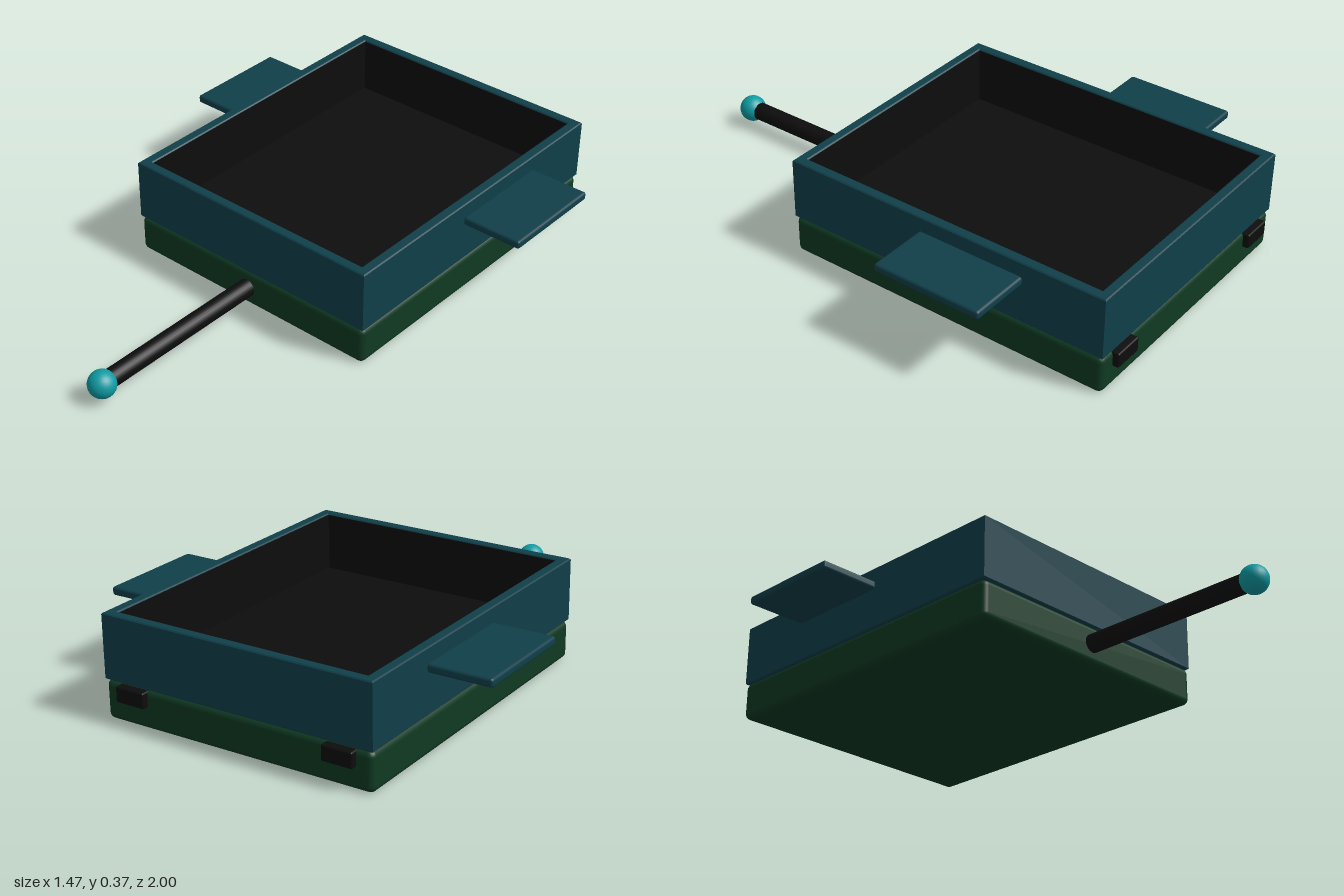
import * as THREE from 'three';
import { RoundedBoxGeometry } from 'three/addons/geometries/RoundedBoxGeometry.js';

const paint = (name, color) => {
  const m = new THREE.MeshStandardMaterial({ color });
  m.name = name;
  return m;
};

// Rectangle outline centred on the origin
function rect(Type, w, d) {
  const p = new Type(), x = w / 2, y = d / 2;
  p.moveTo(-x, -y); p.lineTo(x, -y); p.lineTo(x, y); p.lineTo(-x, y); p.closePath();
  return p;
}

// Upright rectangular frame from y0 to y1, open through the middle
function frame(w, d, innerW, innerD, y0, y1, bevel) {
  const s = rect(THREE.Shape, w - 2 * bevel, d - 2 * bevel);
  s.holes.push(rect(THREE.Path, innerW + 2 * bevel, innerD + 2 * bevel));
  const g = new THREE.ExtrudeGeometry(s, {
    depth: y1 - y0 - 2 * bevel, bevelEnabled: bevel > 0,
    bevelSize: bevel, bevelThickness: bevel, bevelSegments: 1,
  });
  return g.rotateX(-Math.PI / 2).translate(0, y0 + bevel, 0);
}

export function createModel() {
  const model = new THREE.Group();
  model.name = 'trailer';
  const teal = paint('dark teal', 0x103f49);
  const green = paint('dark green', 0x0f3a22);
  const black = paint('black', 0x0d0d0d);
  const bright = paint('bright teal', 0x0f9ca3);

  const add = (name, geometry, material, x, y, z) => {
    const mesh = new THREE.Mesh(geometry, material);
    mesh.name = name;
    mesh.position.set(x, y, z);
    model.add(mesh);
    return mesh;
  };

  const midZ = -0.355;

  // Chassis, open tray walls and dark lining
  add('chassis', new RoundedBoxGeometry(1.02, 0.138, 1.245, 3, 0.022), green, 0, 0.069, midZ);
  add('trayWalls', frame(1.02, 1.245, 0.944, 1.172, 0.138, 0.365, 0.004), teal, 0, 0, midZ);
  add('trayLining', frame(0.95, 1.178, 0.938, 1.166, 0.14, 0.36, 0), black, 0, 0, midZ);
  add('trayFloor', new THREE.BoxGeometry(0.95, 0.016, 1.178), black, 0, 0.147, midZ);

  // Side shelves and rear lamps
  for (const [side, s] of [['left', 1], ['right', -1]]) {
    add(side + 'Shelf', new RoundedBoxGeometry(0.23, 0.031, 0.405, 3, 0.01), teal, s * 0.62, 0.297, -0.472);
    add(side + 'RearLamp', new RoundedBoxGeometry(0.112, 0.055, 0.04, 2, 0.006), black, s * 0.395, 0.106, -0.98);
  }

  // Drawbar and hitch ball
  const bar = new THREE.CylinderGeometry(0.033, 0.033, 0.7, 24).rotateX(Math.PI / 2);
  add('drawbar', bar, black, 0, 0.071, 0.585);
  add('hitchBall', new THREE.SphereGeometry(0.049, 24, 16), bright, 0, 0.071, 0.951);

  return model;
}
